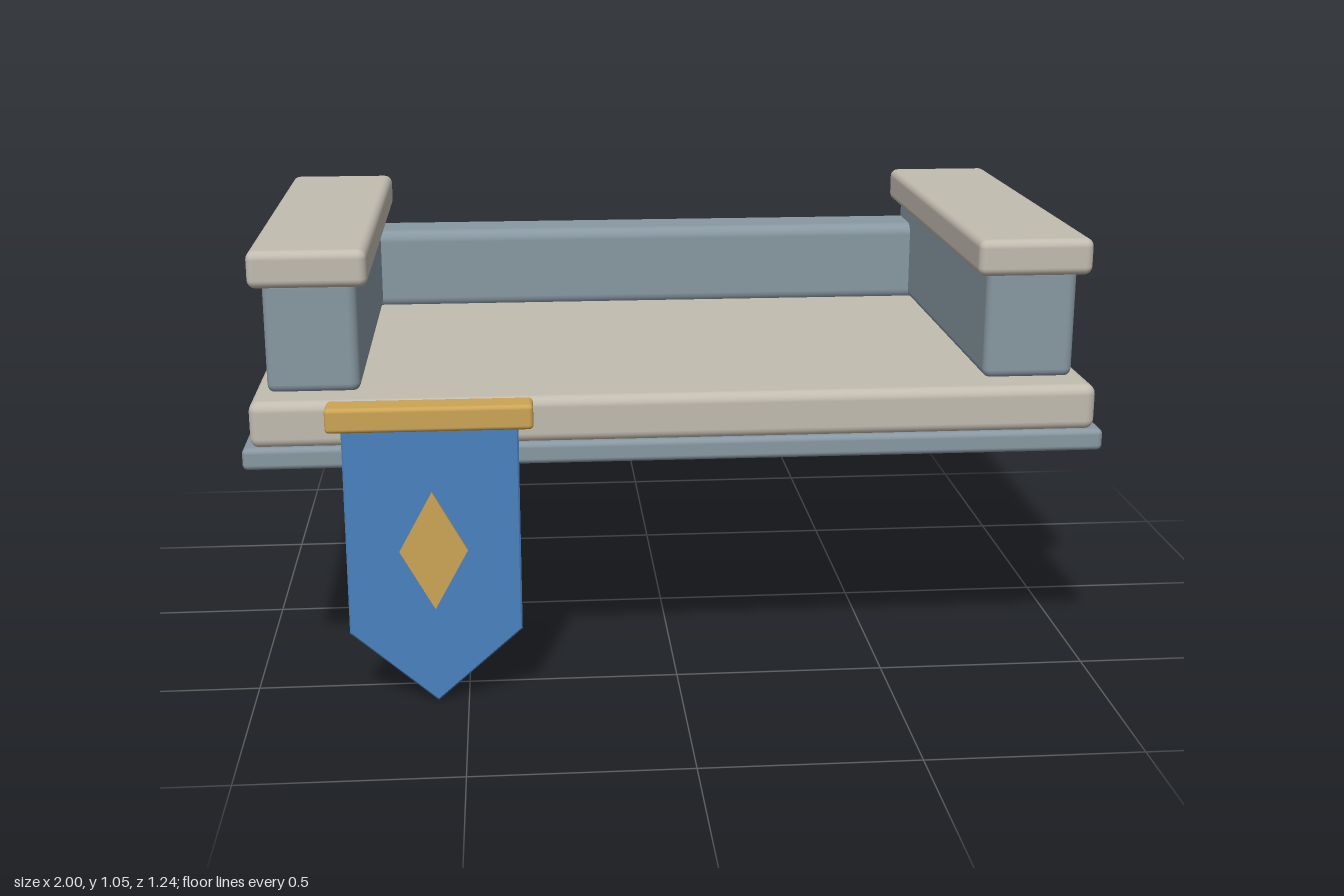
import * as THREE from 'three';
import { RoundedBoxGeometry } from 'three/addons/geometries/RoundedBoxGeometry.js';

const material = (name, color) => {
  const m = new THREE.MeshStandardMaterial({ color });
  m.name = name;
  return m;
};

export function createModel() {
  const stone = material('pale stone', 0xc2bcb0);
  const slate = material('blue grey stone', 0x8898a2);
  const cloth = material('blue cloth', 0x4a82c0);
  const gold = material('gold', 0xcca555);
  const model = new THREE.Group();
  model.name = 'balcony';

  const add = (name, geometry, mat) => {
    const mesh = new THREE.Mesh(geometry, mat);
    mesh.name = name;
    model.add(mesh);
    return mesh;
  };
  // Rounded block given by its [min, max] extents
  const block = (name, mat, [x0, x1], [y0, y1], [z0, z1], radius) => {
    const g = new RoundedBoxGeometry(x1 - x0, y1 - y0, z1 - z0, 3, radius);
    g.translate((x0 + x1) / 2, (y0 + y1) / 2, (z0 + z1) / 2);
    return add(name, g, mat);
  };

  // Floor
  block('basePlinth', slate, [-1, 1], [0.563, 0.615], [-0.622, 0.561], 0.013);
  block('floorSlab', stone, [-0.982, 0.982], [0.61, 0.72], [-0.611, 0.552], 0.024);

  // Parapet walls and their copings
  block('backWall', slate, [-0.94, 0.94], [0.71, 0.925], [-0.59, -0.425], 0.03);
  for (const [side, s] of [['left', 1], ['right', -1]]) {
    const span = (a, b) => (s > 0 ? [a, b] : [-b, -a]);
    block(side + 'Wall', slate, span(0.733, 0.948), [0.715, 0.985], [-0.583, 0.46], 0.022);
    block(side + 'Coping', stone, span(0.706, 0.978), [0.967, 1.054], [-0.606, 0.482], 0.02);
  }

  // Hanging banner with pointed end
  block('bannerRod', gold, [-0.805, -0.337], [0.664, 0.722], [0.546, 0.622], 0.01);
  const plate = (points, depth, bevel) => {
    const shape = new THREE.Shape(points.map(([x, y]) => new THREE.Vector2(x, y)));
    return new THREE.ExtrudeGeometry(shape, {
      depth: depth - 2 * bevel, bevelEnabled: bevel > 0, bevelSize: bevel,
      bevelThickness: bevel, bevelOffset: -bevel, bevelSegments: 1,
    }).translate(0, 0, bevel);
  };
  const banner = add('banner', plate(
    [[-0.2, 0.175], [0, 0], [0.2, 0.175], [0.2, 0.69], [-0.2, 0.69]], 0.04, 0.004), cloth);
  banner.position.set(-0.571, 0, 0.564);

  // Diamond emblem
  const emblem = add('diamondEmblem', plate(
    [[0, -0.142], [0.078, 0], [0, 0.142], [-0.078, 0]], 0.0095, 0), gold);
  emblem.position.set(-0.571, 0.376, 0.6035);

  return model;
}
